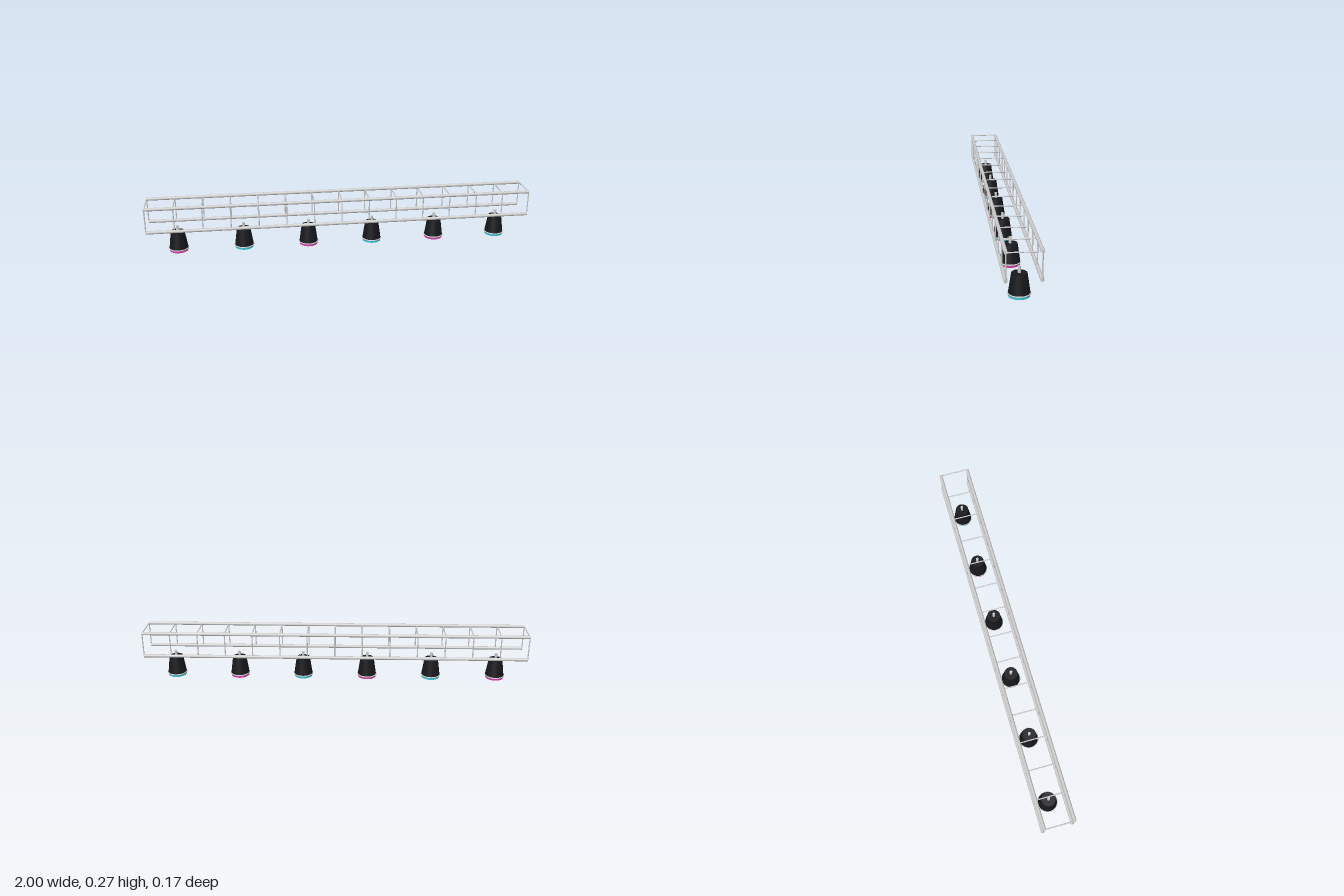
import * as THREE from 'three';

const metal = new THREE.MeshStandardMaterial({ color: 0xcccccc });
const black = new THREE.MeshStandardMaterial({ color: 0x17181c });
const cyan = new THREE.MeshStandardMaterial({ color: 0x35c4d8 });
const magenta = new THREE.MeshStandardMaterial({ color: 0xd63ca8 });

function add(parent, name, geometry, material, x = 0, y = 0, z = 0) {
  const mesh = new THREE.Mesh(geometry, material);
  mesh.name = name;
  mesh.position.set(x, y, z);
  parent.add(mesh);
  return mesh;
}

// Rails joined by evenly spaced uprights and top cross struts
function createTruss() {
  const truss = new THREE.Group();
  truss.name = 'truss';
  const top = 0.261, bottom = 0.136, halfDepth = 0.075, halfLength = 0.997, bays = 14;
  const rail = new THREE.CylinderGeometry(0.0085, 0.0085, halfLength * 2, 12).rotateZ(Math.PI / 2);
  const post = new THREE.CylinderGeometry(0.003, 0.003, top - bottom, 8);
  const strut = new THREE.CylinderGeometry(0.003, 0.003, halfDepth * 2, 8).rotateX(Math.PI / 2);

  for (const z of [-halfDepth, halfDepth]) {
    add(truss, 'topRail', rail, metal, 0, top, z);
    add(truss, 'bottomRail', rail, metal, 0, bottom, z);
  }
  for (let i = 0; i <= bays; i++) {
    const x = -halfLength + (2 * halfLength * i) / bays;
    for (const z of [-halfDepth, halfDepth]) add(truss, 'upright', post, metal, x, (top + bottom) / 2, z);
    add(truss, 'crossStrut', strut, metal, x, top, 0);
  }
  return truss;
}

// Downward spotlight: stem, tapered housing, rim ring and coloured lens
function createLamp(lensMaterial) {
  const lamp = new THREE.Group();
  lamp.name = 'spotlight';
  add(lamp, 'stem', new THREE.CylinderGeometry(0.007, 0.007, 0.036, 12), metal, 0, 0.119, 0);
  add(lamp, 'housing', new THREE.CylinderGeometry(0.035, 0.0485, 0.092, 32), black, 0, 0.06, 0);
  add(lamp, 'rim', new THREE.TorusGeometry(0.0485, 0.0032, 8, 32).rotateX(Math.PI / 2), metal, 0, 0.0135, 0);
  add(lamp, 'lens', new THREE.CylinderGeometry(0.047, 0.047, 0.013, 32), lensMaterial, 0, 0.0065, 0);
  return lamp;
}

export function createModel() {
  const model = new THREE.Group();
  model.name = 'stageLightTruss';
  model.add(createTruss());
  for (let i = 0; i < 6; i++) {
    const lamp = createLamp(i % 2 ? cyan : magenta);
    lamp.position.x = (i - 2.5) * 0.339;
    model.add(lamp);
  }
  return model;
}
